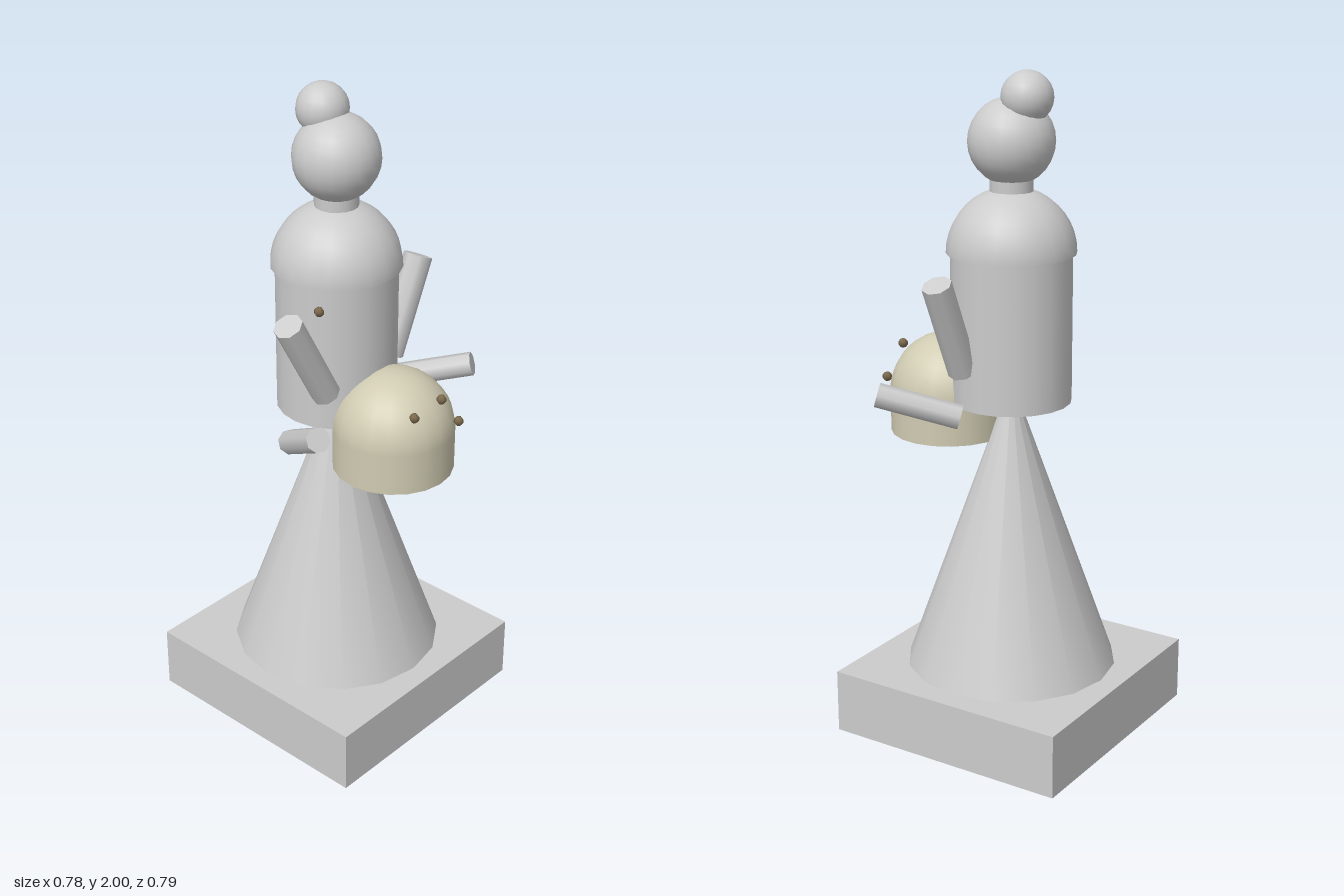
import * as THREE from 'three';

const CX = 0.006, CZ = -0.01; // axis of the figure

export function createModel() {
  const group = new THREE.Group();
  const grey = new THREE.MeshStandardMaterial({ color: 0xcccccc });
  const shell = new THREE.MeshStandardMaterial({ color: 0xcccccc, side: THREE.DoubleSide });
  const cream = new THREE.MeshStandardMaterial({ color: 0xd0cbb2 });
  const brown = new THREE.MeshStandardMaterial({ color: 0x7a684c });

  const add = (name, geometry, material, x, y, z) => {
    const mesh = new THREE.Mesh(geometry, material);
    mesh.name = name;
    mesh.position.set(x, y, z);
    group.add(mesh);
    return mesh;
  };
  const hemisphere = (r) => new THREE.SphereGeometry(r, 20, 10, 0, Math.PI * 2, 0, Math.PI / 2);

  // Cylinder running between two points
  const limb = (name, from, to, r) => {
    const a = new THREE.Vector3(...from), b = new THREE.Vector3(...to);
    const dir = b.clone().sub(a);
    const mid = a.clone().add(b).multiplyScalar(0.5);
    const mesh = add(name, new THREE.CylinderGeometry(r, r, dir.length(), 8), grey, mid.x, mid.y, mid.z);
    mesh.quaternion.setFromUnitVectors(new THREE.Vector3(0, 1, 0), dir.normalize());
  };

  // Plinth and skirt
  add('base', new THREE.BoxGeometry(0.77, 0.195, 0.77), grey, CX, 0.0975, CZ);
  add('skirt', new THREE.ConeGeometry(0.321, 0.9, 16), grey, CX, 0.645, CZ);

  // Body, shoulders, neck, head and hair bun
  add('torso', new THREE.CylinderGeometry(0.179, 0.179, 0.45, 20), grey, CX, 1.255, CZ);
  add('shoulders', hemisphere(0.191), shell, CX, 1.475, CZ);
  add('neck', new THREE.CylinderGeometry(0.064, 0.064, 0.1, 16), grey, CX, 1.66, CZ);
  add('head', new THREE.SphereGeometry(0.127, 20, 14), grey, CX, 1.797, CZ);
  add('hairBun', new THREE.SphereGeometry(0.076, 18, 12), grey, CX, 1.924, -0.062);

  // Arms
  limb('rightUpperArm', [-0.145, 1.147, 0.085], [-0.297, 1.417, 0.085], 0.043);
  limb('leftUpperArm', [0.166, 1.145, 0.055], [0.293, 1.425, 0.055], 0.044);
  limb('rightForearm', [-0.275, 1.035, 0.065], [-0.358, 1.15, 0.252], 0.036);
  limb('leftForearm', [0.235, 1.03, 0.018], [0.358, 1.095, 0.222], 0.036);

  // Domed loaf carried in front
  add('loafBody', new THREE.CylinderGeometry(0.179, 0.179, 0.125, 20), cream, CX, 0.9625, 0.213);
  add('loafTop', hemisphere(0.18), cream, CX, 1.025, 0.213);

  // Scattered crumbs
  const crumb = new THREE.SphereGeometry(0.015, 6, 5);
  [
    [-0.063, 1.13, 0.346],
    [0.037, 1.155, 0.362],
    [0.102, 1.063, 0.376],
    [-0.164, 1.41, 0.078],
  ].forEach((p) => add('crumb', crumb, brown, ...p));

  return group;
}
